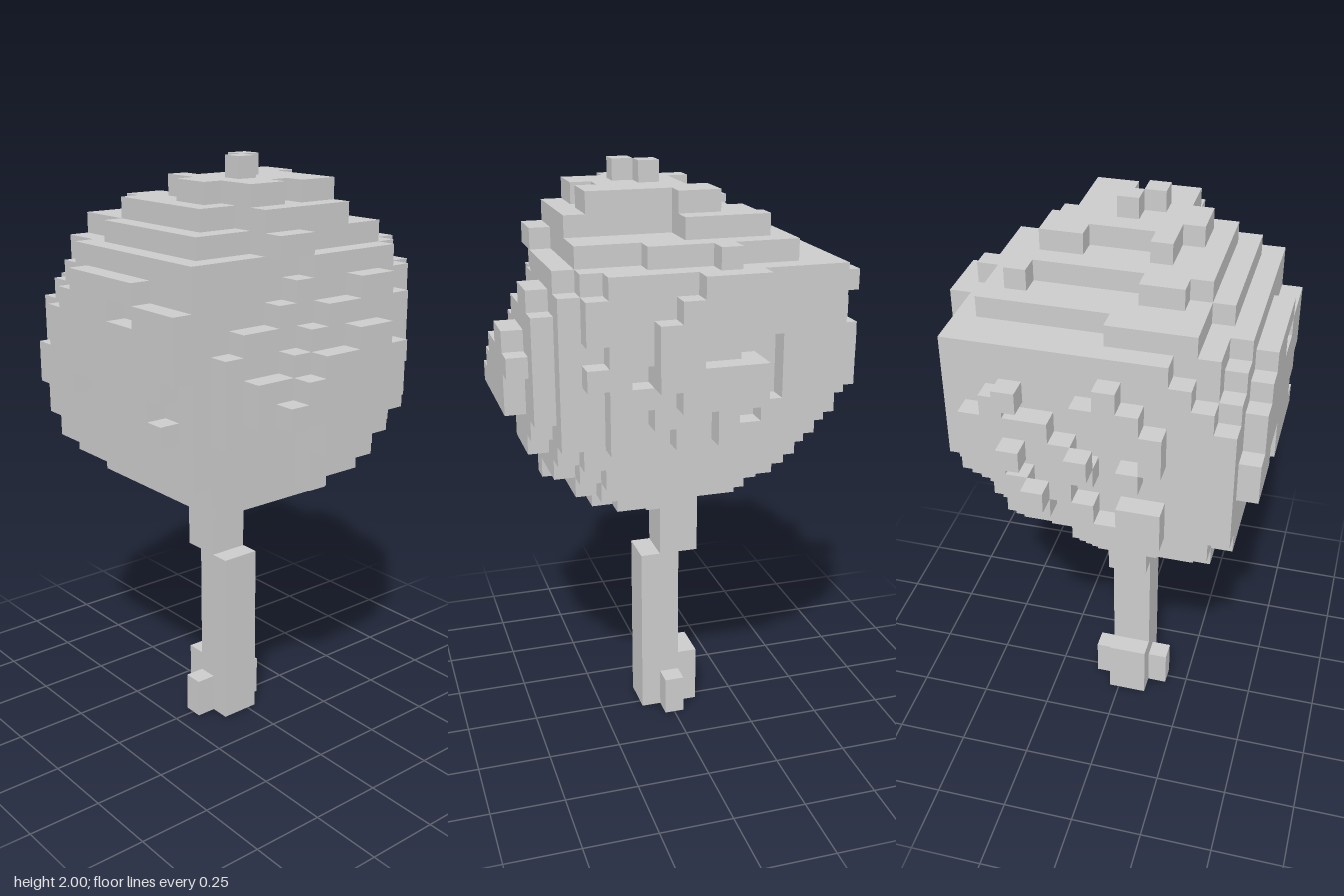
import * as THREE from 'three';
import { mergeGeometries } from 'three/addons/utils/BufferGeometryUtils.js';

const S = 2 / 29;              // cube size
const NX = 17, NZ = 15;        // grid cells across and deep

const key = (i, j, k) => i + 20 * (j + 40 * k);
const hash = (i, j, k) => {
  const v = Math.sin(i * 12.99 + j * 78.23 + k * 37.72) * 43758.55;
  return v - Math.floor(v);
};

// A set of filled cubes, with box filling (ends exclusive) and removal
function grid() {
  const cells = new Map();
  return {
    cells,
    fill(i0, i1, j0, j1, k0, k1) {
      for (let i = i0; i < i1; i++) for (let j = j0; j < j1; j++) for (let k = k0; k < k1; k++) cells.set(key(i, j, k), [i, j, k]);
    },
    remove: (i, j, k) => cells.delete(key(i, j, k)),
  };
}

// Only the outward faces of the filled cubes
function surface({ cells }) {
  const dirs = [[1, 0, 0], [-1, 0, 0], [0, 1, 0], [0, -1, 0], [0, 0, 1], [0, 0, -1]];
  const faces = dirs.map((d) => {
    const q = new THREE.Quaternion().setFromUnitVectors(new THREE.Vector3(0, 0, 1), new THREE.Vector3(...d));
    if (d[2] === -1) q.setFromAxisAngle(new THREE.Vector3(0, 1, 0), Math.PI);
    return new THREE.PlaneGeometry(S, S).applyQuaternion(q).translate(d[0] * S / 2, d[1] * S / 2, d[2] * S / 2);
  });
  const parts = [];
  for (const [i, j, k] of cells.values()) {
    dirs.forEach((d, n) => {
      if (cells.has(key(i + d[0], j + d[1], k + d[2]))) return;
      parts.push(faces[n].clone().translate((i + 0.5 - NX / 2) * S, (j + 0.5) * S, (k + 0.5 - NZ / 2) * S));
    });
  }
  return mergeGeometries(parts);
}

// Crown layers from the bottom up: x start, x end, z start, z end
const layers = [
  [5, 10, 6, 10], [4, 13, 4, 12], [3, 15, 3, 13], [2, 15, 2, 14], [1, 16, 2, 14],
  [0, 16, 1, 14], [0, 17, 1, 14], [1, 17, 1, 14], [0, 17, 1, 14], [1, 17, 1, 14],
  [1, 17, 1, 14], [0, 16, 1, 14], [2, 16, 1, 14],
];
// Widest x range of each row, back to front
const rows = [
  [6, 11], [2, 14], [1, 16], [1, 16], [0, 17], [0, 17], [0, 17], [0, 17],
  [1, 17], [1, 17], [1, 17], [2, 16], [2, 15], [2, 14], [3, 14],
];
// Front leaf slab: layer, x start, x end
const slab = [
  [17, 8, 13], [18, 3, 6], [18, 8, 12], [19, 3, 13], [20, 4, 14], [21, 4, 14],
  [22, 5, 9], [22, 11, 14], [23, 6, 11],
];
// Back leaf tufts: x start, x end, layer start, layer end
const tufts = [[6, 9, 22, 25], [6, 10, 19, 21], [9, 10, 21, 24], [10, 11, 20, 23]];
// Stepped cap: layer, z start, z end, x start, x end
const cap = [
  [25, 1, 2, 7, 8], [25, 2, 3, 4, 11], [25, 3, 8, 4, 14], [25, 8, 10, 3, 15], [25, 10, 12, 3, 13], [25, 12, 13, 6, 13],
  [26, 3, 4, 5, 9], [26, 4, 5, 6, 9], [26, 5, 9, 6, 14], [26, 9, 10, 5, 14], [26, 10, 11, 5, 12], [26, 11, 12, 6, 12],
  [27, 4, 5, 7, 9], [27, 5, 6, 7, 13], [27, 6, 7, 8, 13], [27, 7, 8, 8, 12], [27, 8, 9, 8, 13], [27, 9, 10, 7, 13],
  [27, 10, 11, 9, 11], [28, 7, 8, 9, 10], [28, 8, 9, 10, 11],
];

// Beyond the rounded corner of its quarter: each has its own centre height and radius
function outsideCorner(i, j, k) {
  const left = i > 8, front = k > 6;
  if (left && k > 12) return false;
  const [height, radius] = front ? [1.3, 0.625] : left ? [1.42, 0.59] : [1.55, 0.635];
  const y = (j + 0.5) * S - height;
  return Math.hypot((i - 8) * S, y, (k - 7) * S) > radius;
}

// Left-hand leaf terraces: x column -> top layer at row 10, rise per row backwards, lowest layer
const terraces = { 14: [22, 0.8, 17], 15: [20, 0.7, 18], 16: [19, 0.6, 18] };
function outsideTerrace(i, j, k) {
  if (!terraces[i]) return false;
  const [top, rise, low] = terraces[i];
  return j >= top + (10 - k) * rise || (k > 7 && j < low);
}

// Ragged leaves: the right side thins out upwards, the back only below its upper edge
function missingLeaf(i, j, k) {
  const side = i === 0 ? 0.55 : i === 1 ? (j > 21 ? 0.7 : 0.3) : 0;
  const back = k === 1 && j < 22 && i > 4 ? 0.35 : 0;
  return hash(i, j, k) < Math.max(side, back);
}

function crownGrid() {
  const g = grid();
  layers.forEach(([x0, x1, z0, z1], n) => {
    for (let k = z0; k < z1; k++) {
      g.fill(Math.max(x0, rows[k][0]), Math.min(x1, rows[k][1]), 12 + n, 13 + n, k, k + 1);
    }
  });
  for (const c of [...g.cells.values()]) {
    if (outsideCorner(...c) || outsideTerrace(...c) || missingLeaf(...c)) g.remove(...c);
  }
  slab.forEach(([j, x0, x1]) => g.fill(x0, x1, j, j + 1, 14, 15));
  tufts.forEach((t) => g.fill(...t, 0, 1));
  cap.forEach(([j, z0, z1, x0, x1]) => g.fill(x0, x1, j, j + 1, z0, z1));
  return g;
}

function trunkGrid() {
  const g = grid();
  g.fill(8, 10, 0, 9, 7, 9);    // lower trunk
  g.fill(7, 9, 9, 12, 7, 9);    // upper trunk, shifted sideways
  g.fill(7, 8, 0, 3, 7, 9);     // side root
  g.fill(8, 9, 0, 2, 6, 10);    // front and back roots
  return g;
}

export function createModel() {
  const tree = new THREE.Group();
  tree.name = 'tree';
  const material = new THREE.MeshStandardMaterial({ color: 0xcccccc, flatShading: true });
  for (const [name, g] of [['trunk', trunkGrid()], ['crown', crownGrid()]]) {
    const mesh = new THREE.Mesh(surface(g), material);
    mesh.name = name;
    tree.add(mesh);
  }
  return tree;
}
